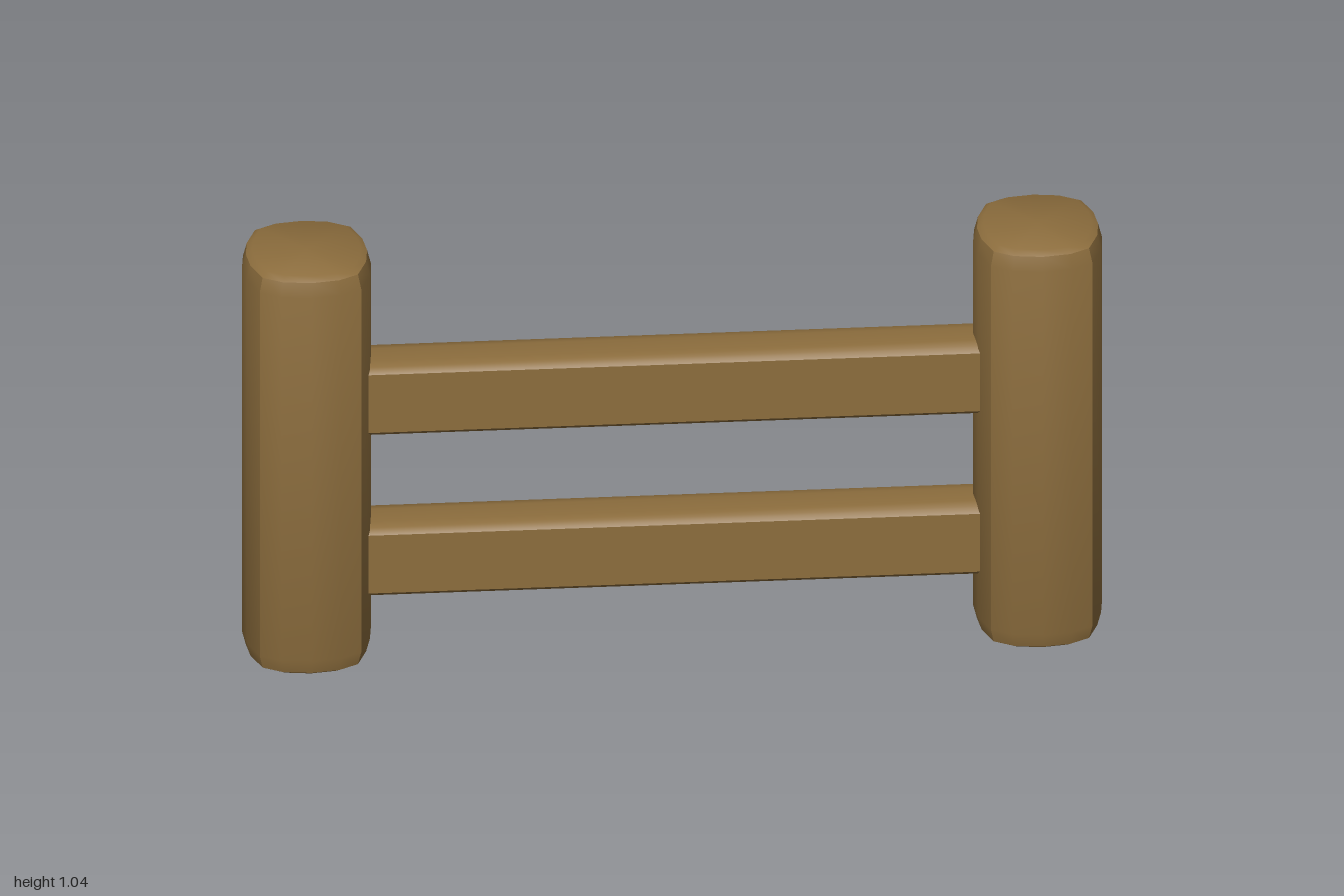
import * as THREE from 'three';
import { toCreasedNormals } from 'three/addons/utils/BufferGeometryUtils.js';

// One quarter of the post outline as [x, z]
const QUARTER = [[0, 0.162], [0.07, 0.152], [0.118, 0.125], [0.143, 0.06], [0.15, 0]];

// Lathe with bevelled ends, its rings remapped to the squarish outline
function postGeometry(height) {
  const profile = [
    [0, 0], [0.84, 0], [0.94, 0.01], [1, 0.045],
    [1, height - 0.045], [0.94, height - 0.01], [0.84, height], [0, height],
  ].map(([r, y]) => new THREE.Vector2(r, y));
  const geometry = new THREE.LatheGeometry(profile, 16);
  const pos = geometry.attributes.position;
  for (let i = 0; i < pos.count; i++) {
    const step = Math.floor(i / profile.length) % 16;
    const r = profile[i % profile.length].x;
    const k = step % 8;
    const [x, z] = QUARTER[k <= 4 ? k : 8 - k];
    const sx = step > 8 ? -1 : 1;
    const sz = step > 4 && step < 12 ? -1 : 1;
    pos.setX(i, x * r * sx);
    pos.setZ(i, z * r * sz);
  }
  return toCreasedNormals(geometry, 0.65);
}

// Tall plank with small chamfers, running along x
function railGeometry(length) {
  const w = 0.07, h = 0.092;
  const half = [[w, -0.076], [w, 0.076], [0.056, 0.088], [0.03, h]];
  const points = [
    ...half,
    [-0.03, h], [-0.056, 0.088], [-w, 0.076], [-w, -0.076],
    [-0.056, -0.088], [-0.03, -h], [0.03, -h], [0.056, -0.088],
  ].map(([x, y]) => new THREE.Vector2(x, y));
  const geometry = new THREE.ExtrudeGeometry(new THREE.Shape(points), { depth: length, bevelEnabled: false });
  geometry.translate(0, 0, -length / 2);
  geometry.rotateY(Math.PI / 2);
  return toCreasedNormals(geometry, 0.6);
}

export function createModel() {
  const group = new THREE.Group();
  group.name = 'fence';
  const wood = new THREE.MeshStandardMaterial({ color: 0x8c6d3d });
  wood.name = 'brown wood';

  // Upright posts
  const post = postGeometry(1.045);
  for (const [name, x] of [['rightPost', -0.85], ['leftPost', 0.85]]) {
    const mesh = new THREE.Mesh(post, wood);
    mesh.name = name;
    mesh.position.x = x;
    group.add(mesh);
  }

  // Horizontal rails set into the posts
  const rail = railGeometry(1.8);
  for (const [name, y] of [['lowerRail', 0.245], ['upperRail', 0.667]]) {
    const mesh = new THREE.Mesh(rail, wood);
    mesh.name = name;
    mesh.position.y = y;
    group.add(mesh);
  }
  return group;
}
